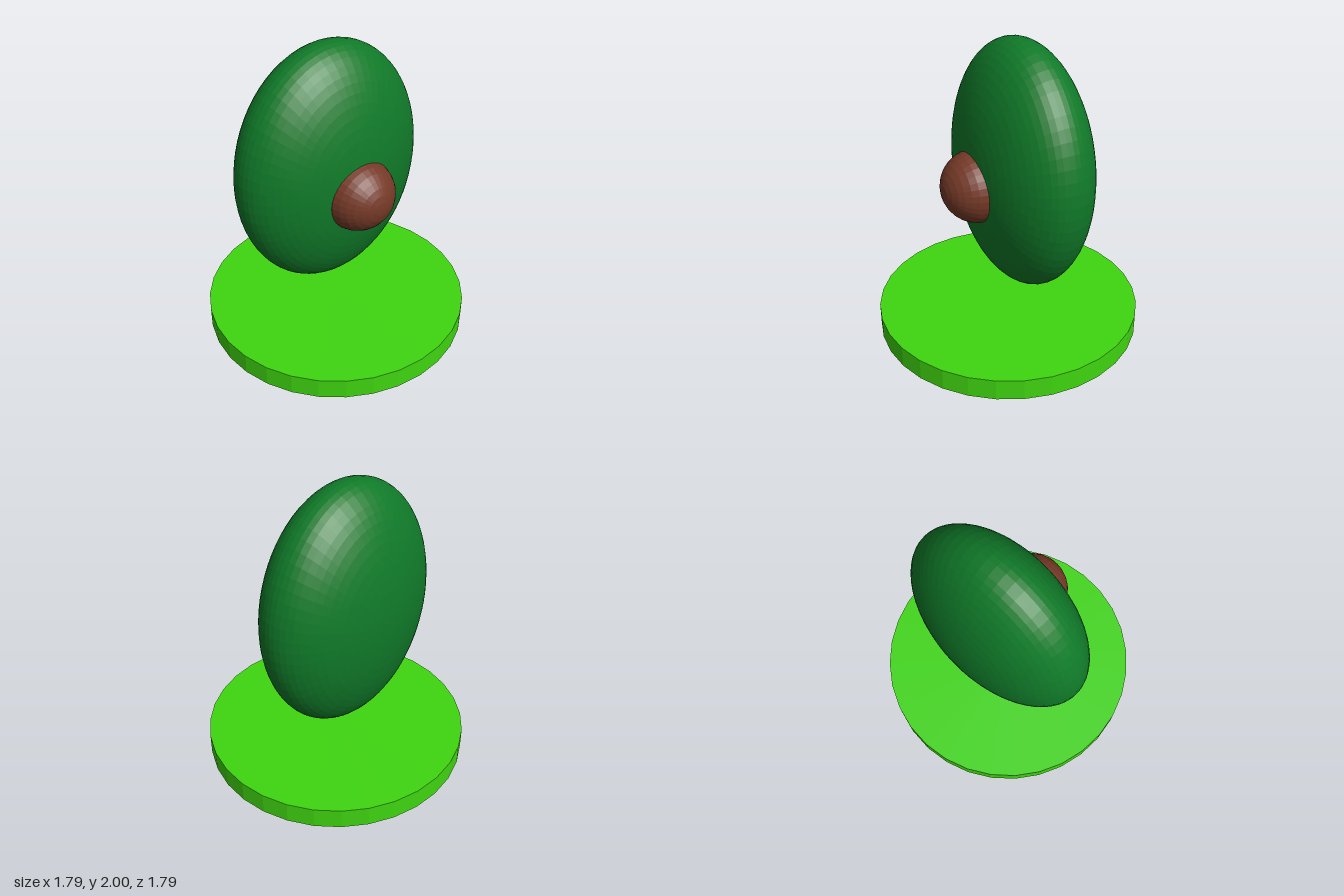
import * as THREE from 'three';

const paint = (name, color) => {
  const material = new THREE.MeshStandardMaterial({ color });
  material.name = name;
  material.flatShading = true;
  return material;
};

// Faceted ellipsoid whose poles lie on the z axis
function ellipsoid(name, material, radii, position, sides, rings) {
  const geometry = new THREE.SphereGeometry(1, sides, rings);
  geometry.rotateX(Math.PI / 2);
  geometry.scale(...radii);
  const mesh = new THREE.Mesh(geometry, material);
  mesh.name = name;
  mesh.position.set(...position);
  return mesh;
}

export function createModel() {
  const model = new THREE.Group();
  model.name = 'avocadoOnStand';

  const skinGreen = paint('skin green', 0x107a29);
  const pitBrown = paint('pit brown', 0x763a28);
  const limeGreen = paint('lime green', 0x3fd510);

  // Round stand
  const height = 0.145;
  const stand = new THREE.Mesh(new THREE.CylinderGeometry(0.893, 0.893, height, 32), limeGreen);
  stand.name = 'stand';
  stand.position.y = height / 2;
  model.add(stand);

  // Floating flattened fruit, set slightly back
  model.add(ellipsoid('fruit', skinGreen, [0.676, 0.845, 0.376], [0, 1.155, -0.09], 64, 32));

  // Pit, half sunk in the front of the fruit
  model.add(ellipsoid('pit', pitBrown, [0.24, 0.24, 0.24], [0, 1.078, 0.225], 32, 16));

  return model;
}
